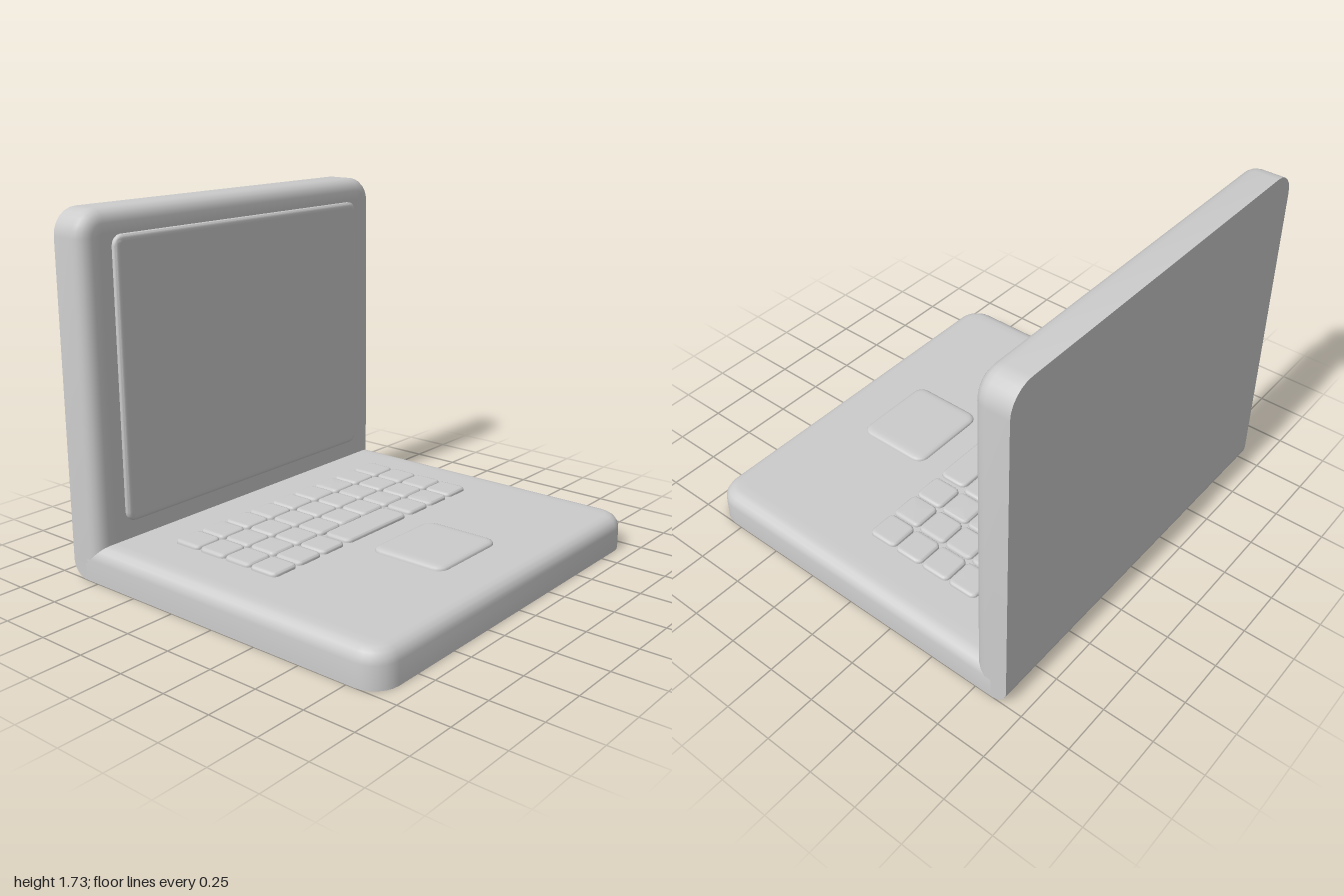
import * as THREE from 'three';
import { toCreasedNormals } from 'three/addons/utils/BufferGeometryUtils.js';

const material = new THREE.MeshStandardMaterial({ color: 0xcccccc });

// Outline of a rounded rectangle in x/z, inset by d; an open slab keeps its x0 edge straight and square
function ring(s, d, y) {
  const points = [];
  const r = Math.max(s.r - d, 0.002);
  const steps = s.steps;
  for (let corner = 0; corner < 4; corner++) {
    const right = corner === 0 || corner === 3;
    const near = corner < 2;
    const square = s.open && !right;
    const cr = square ? 0 : r;
    const x = right ? s.x1 - d - cr : s.x0 + (square ? 0 : d + cr);
    const z = near ? s.z1 - d - cr : s.z0 + d + cr;
    for (let i = 0; i <= (square ? 0 : steps); i++) {
      const a = (corner + i / steps) * Math.PI / 2;
      points.push([x + cr * Math.cos(a), y, z + cr * Math.sin(a)]);
    }
  }
  return points;
}

// Flat slab standing on y = 0 with a sharp lower edge and a rounded upper edge
function slabGeometry(s) {
  const rings = [ring(s, 0, 0)];
  for (let i = 0; i <= s.bevelSteps; i++) {
    const a = i / s.bevelSteps * Math.PI / 2;
    rings.push(ring(s, s.bevel * (1 - Math.cos(a)), s.h - s.drop * (1 - Math.sin(a))));
  }
  rings.push(ring(s, s.bevel * 1.7, s.h));

  const position = [];
  const n = rings[0].length;
  const mid = y => [(s.x0 + s.x1) / 2, y, (s.z0 + s.z1) / 2];
  const tri = (a, b, c) => position.push(...a, ...b, ...c);
  const top = rings[rings.length - 1];
  for (let i = 0; i < n; i++) {
    const j = (i + 1) % n;
    for (let k = 0; k + 1 < rings.length; k++) {
      const a = rings[k], b = rings[k + 1];
      tri(a[i], b[i], b[j]);
      tri(a[i], b[j], a[j]);
    }
    tri(mid(s.h), top[j], top[i]);
    tri(mid(0), rings[0][i], rings[0][j]);
  }
  const geometry = new THREE.BufferGeometry();
  geometry.setAttribute('position', new THREE.Float32BufferAttribute(position, 3));
  return toCreasedNormals(geometry, 0.7);
}

function addMesh(parent, name, geometry) {
  const mesh = new THREE.Mesh(geometry, material);
  mesh.name = name;
  parent.add(mesh);
  return mesh;
}

// Turns a lying slab upright so that its x runs up and its top faces +x
const upright = geometry => geometry.rotateY(Math.PI).rotateZ(-Math.PI / 2);

export function createModel() {
  const model = new THREE.Group();
  model.name = 'laptop';
  const back = -0.917, front = 0.917, thick = 0.172, hinge = 0.085;
  const shell = { z0: -1, z1: 1, r: 0.125, steps: 6, bevel: 0.065, drop: 0.065, bevelSteps: 4, open: true };

  // Lower half
  addMesh(model, 'base', slabGeometry({ ...shell, x0: back + hinge, x1: front, h: thick }));

  // Upright lid and screen panel
  const lid = new THREE.Group();
  lid.name = 'lid';
  lid.position.x = back;
  model.add(lid);
  addMesh(lid, 'lidShell', upright(slabGeometry({ ...shell, x0: hinge, x1: 1.73, h: 0.182 })));
  const screen = upright(slabGeometry({
    x0: 0.26, x1: 1.61, z0: -0.83, z1: 0.84, r: 0.05, steps: 4,
    h: 0.03, bevel: 0.018, drop: 0.012, bevelSteps: 3,
  }));
  addMesh(lid, 'screen', screen).position.x = 0.176;

  // Rounded spine joining both halves
  const spine = new THREE.Shape();
  spine.moveTo(back + hinge, hinge);
  spine.lineTo(back, hinge);
  spine.absarc(back + hinge, hinge, hinge, Math.PI, Math.PI * 1.5, false);
  spine.lineTo(back + hinge, hinge);
  const spineGeometry = new THREE.ExtrudeGeometry(spine, { depth: 2, bevelEnabled: false, curveSegments: 5 });
  spineGeometry.translate(0, 0, -1);
  addMesh(model, 'hingeSpine', toCreasedNormals(spineGeometry, 0.6));

  // Keyboard: four rows of nine, with a bar replacing three keys of the last row
  const keyboard = new THREE.Group();
  keyboard.name = 'keyboard';
  keyboard.position.y = thick - 0.01;
  model.add(keyboard);
  const cap = { h: 0.029, r: 0.028, steps: 4, bevel: 0.013, drop: 0.013, bevelSteps: 3 };
  const size = 0.156, pitch = 0.1637;
  [-0.532, -0.37, -0.209, -0.047].forEach((x0, row) => {
    for (let col = 0; col < 9; col++) {
      if (row === 3 && col >= 3 && col <= 5) continue;
      const z0 = -0.75 + col * pitch + (row === 3 ? 0.003 : 0);
      addMesh(keyboard, 'key', slabGeometry({ ...cap, x0, x1: x0 + size, z0, z1: z0 + size }));
    }
  });
  addMesh(keyboard, 'spaceBar', slabGeometry({ ...cap, x0: -0.045, x1: 0.11, z0: -0.24, z1: 0.215, r: 0.035 }));

  // Touchpad
  const pad = slabGeometry({
    x0: 0.24, x1: 0.64, z0: -0.24, z1: 0.215, r: 0.055, steps: 4,
    h: 0.029, bevel: 0.035, drop: 0.014, bevelSteps: 3,
  });
  addMesh(model, 'touchpad', pad).position.y = thick - 0.01;

  return model;
}
